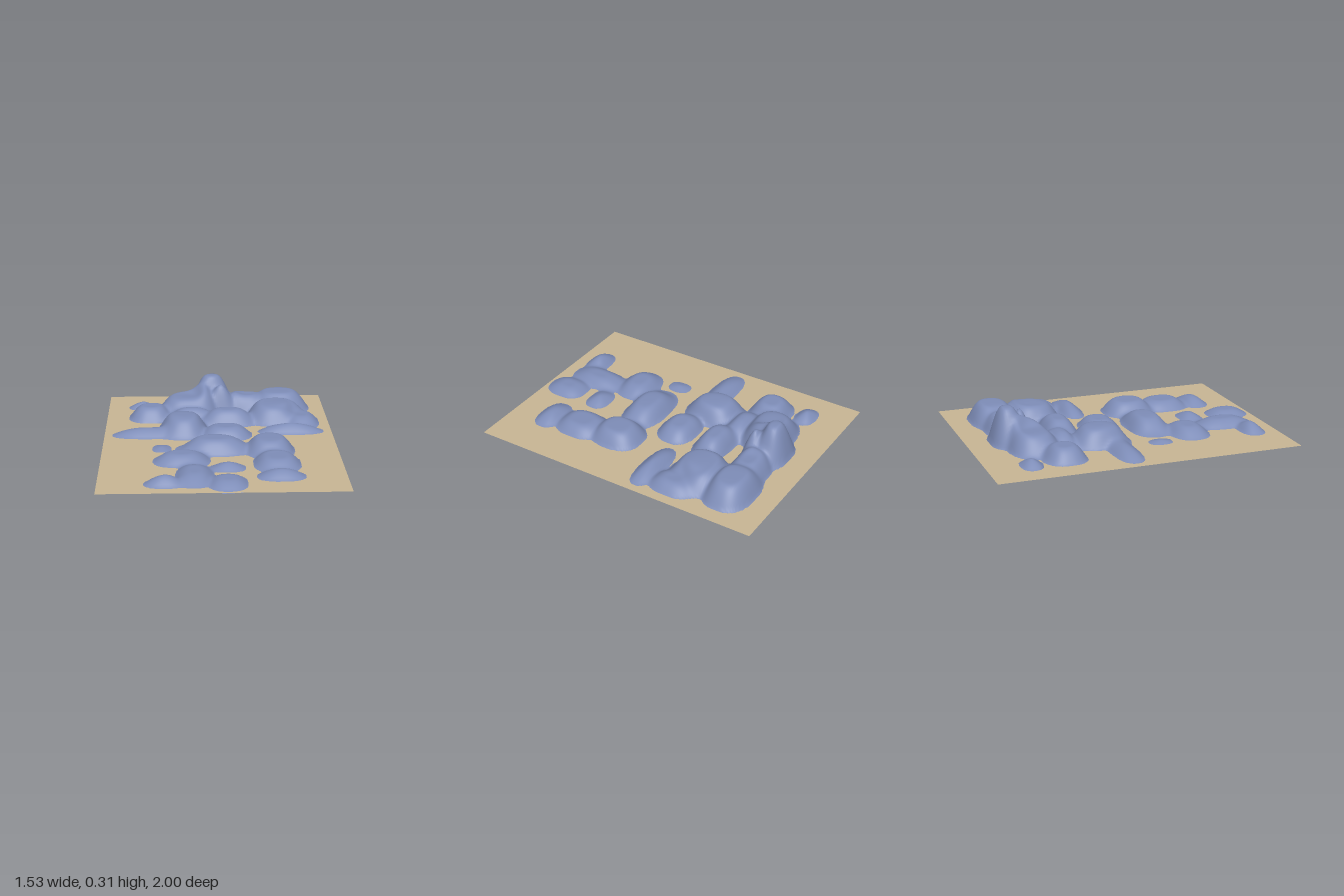
import * as THREE from 'three';

const PLANE_Y = 0.07;
const STEP = 0.0125;

// Hills: centre x, z, half-widths in x and z, top height
const hills = [
  // back land mass
  [-.52,-.72,.1,.07,.12], [-.46,-.49,.15,.14,.16], [-.21,-.61,.22,.17,.19], [-.03,-.73,.17,.12,.31],
  [.03,-.63,.12,.08,.27], [.22,-.69,.16,.13,.18], [.44,-.7,.22,.16,.2], [.42,-.44,.22,.19,.19],
  [.58,-.36,.12,.16,.13], [.07,-.36,.2,.12,.17], [-.18,-.42,.18,.1,.16], [-.24,-.18,.17,.2,.19],
  [-.47,-.1,.24,.09,.12], [.05,-.08,.17,.13,.14], [.49,-.15,.22,.08,.13],
  // front land mass
  [-.04,.22,.25,.14,.16], [.32,.23,.16,.18,.16], [.35,.5,.15,.17,.13], [.36,.73,.15,.09,.12],
  [-.25,.43,.18,.13,.13], [-.17,.72,.12,.2,.12], [-.35,.84,.13,.08,.13], [.03,.84,.12,.14,.11],
  [.04,.57,.11,.08,.11], [-.38,.19,.06,.08,.09],
];

// Pockets sinking under the ground sheet: x, z, depth
const pockets = [[.14,-.53,.06], [-.6,-.66,.05], [-.47,-.32,.04], [-.37,.29,.03], [-.1,.06,.03]];

// Soft union of the rounded footprints: positive on land, about the distance to the shore
function shoreDistance(x, z) {
  const softness = 0.012;
  let sum = 0;
  for (const [cx, cz, rx, rz] of hills) {
    const q = (Math.abs((x - cx) / rx) ** 2.5 + Math.abs((z - cz) / rz) ** 2.5) ** 0.4;
    sum += Math.exp(Math.max(-0.3, (1 - q) * Math.min(rx, rz)) / softness);
  }
  return softness * Math.log(sum);
}

// Height above the sheet, blended between the nearest hill tops
function hillHeight(x, z) {
  let sum = 0, weight = 0;
  for (const [cx, cz, , , top] of hills) {
    const w = ((x - cx) ** 2 + (z - cz) ** 2 + 0.0006) ** -1.6;
    sum += w * top;
    weight += w;
  }
  return sum / weight - PLANE_Y;
}

function pocketDepth(x, z) {
  return Math.max(...pockets.map(([px, pz, depth]) =>
    depth * Math.exp(-((x - px) ** 2 + (z - pz) ** 2) / 0.002)));
}

// Height field over the sheet, keeping only land, its shore and the pockets
function landGeometry() {
  const nx = Math.round(1.5 / STEP), nz = Math.round(2 / STEP);
  const positions = [], keep = [], index = [];
  for (let j = 0; j <= nz; j++) {
    for (let i = 0; i <= nx; i++) {
      const x = -0.75 + i * STEP, z = -1 + j * STEP;
      const d = shoreDistance(x, z);
      const pocket = pocketDepth(x, z);
      const rise = d > 0
        ? hillHeight(x, z) * Math.sin(Math.min(1, d / 0.09) * Math.PI / 2)
        : 0.3 * Math.max(d, -0.04) - pocket * Math.min(1, -d / 0.02);
      positions.push(x, Math.max(0, PLANE_Y + rise), z);
      keep.push(d > -0.008 || (pocket > 0.008 && d > -0.05));
    }
  }
  const row = nx + 1;
  for (let j = 0; j < nz; j++) {
    for (let i = 0; i < nx; i++) {
      const a = j * row + i, b = a + 1, c = a + row, e = c + 1;
      if (keep[a] || keep[b] || keep[c] || keep[e]) index.push(a, c, b, b, c, e);
    }
  }
  const geometry = new THREE.BufferGeometry();
  geometry.setAttribute('position', new THREE.Float32BufferAttribute(positions, 3));
  geometry.setIndex(index);
  geometry.computeVertexNormals();
  return geometry;
}

export function createModel() {
  const model = new THREE.Group();
  const addPart = (name, geometry, color) => {
    const mesh = new THREE.Mesh(geometry, new THREE.MeshStandardMaterial({ color, side: THREE.DoubleSide }));
    mesh.name = name;
    model.add(mesh);
  };

  // Flat ground sheet
  addPart('groundSheet', new THREE.PlaneGeometry(1.53, 2).rotateX(-Math.PI / 2).translate(0, PLANE_Y, 0), 0xc8b694);

  // Rolling hills rising through it
  addPart('hills', landGeometry(), 0x7e8db8);
  return model;
}
